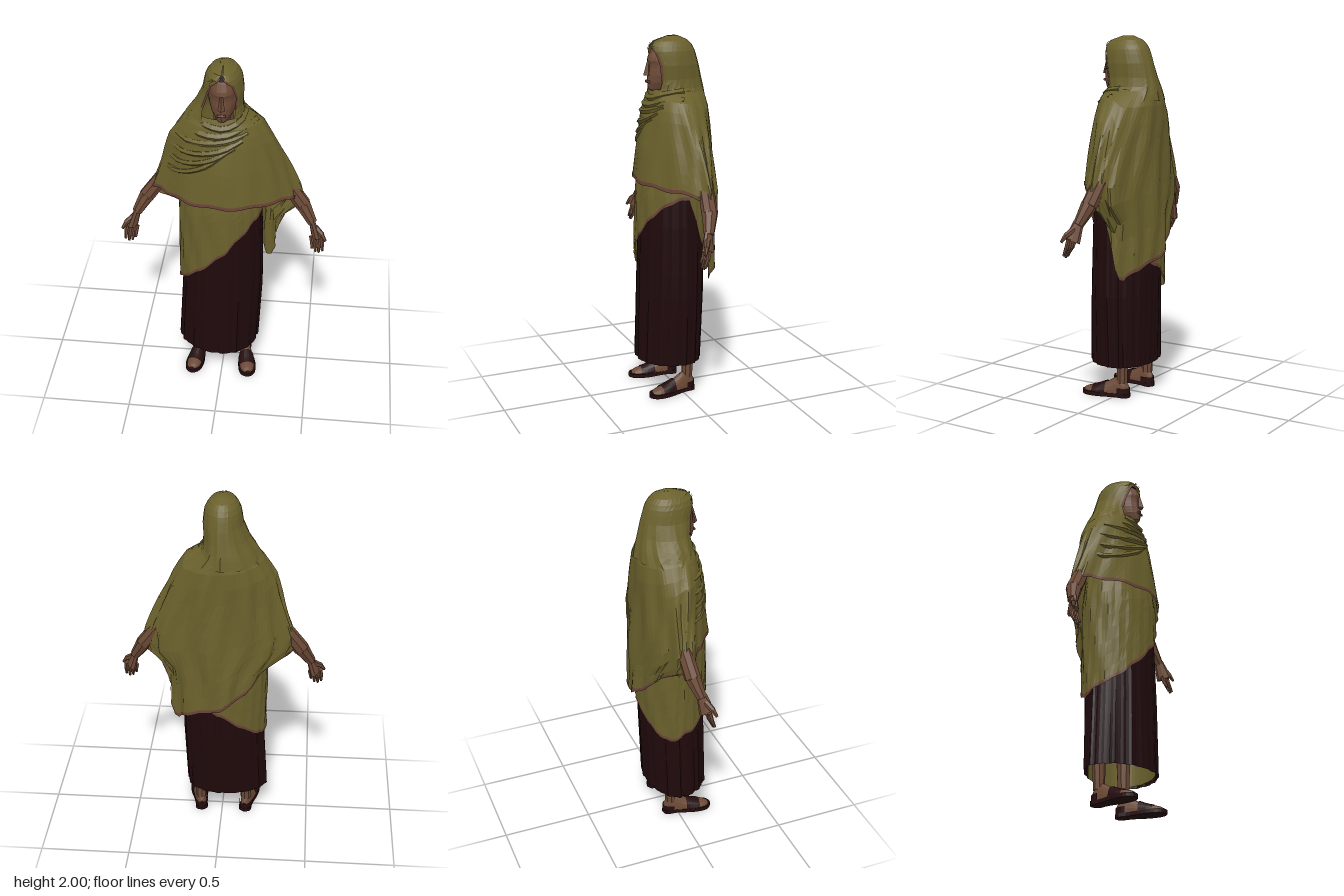
import * as THREE from 'three';

const mat = (name, color) => new THREE.MeshStandardMaterial({ name, color, flatShading: true, side: THREE.DoubleSide });
const olive = mat('olive cloth', 0x6a602c);
const trim = mat('hem trim', 0x6a4238);
const maroon = mat('dark maroon cloth', 0x1f090b);
const skin = mat('brown skin', 0x6b4936);
const leather = mat('dark leather', 0x240d0f);
const hairMat = mat('black hair', 0x17100e);
const RAD = Math.PI / 180;

// Linear interpolation in a table whose first column is the key
function look(table, key) {
  const up = table[0][0] < table[table.length - 1][0];
  const rows = up ? table : [...table].reverse();
  const k = THREE.MathUtils.clamp(key, rows[0][0], rows[rows.length - 1][0]);
  let i = 0;
  while (i < rows.length - 2 && k > rows[i + 1][0]) i++;
  const t = (k - rows[i][0]) / (rows[i + 1][0] - rows[i][0]);
  return rows[i].map((v, j) => v + (rows[i + 1][j] - v) * t);
}

// Surface from a grid of points, f(u, v) with u around and v downward
function sheet(name, material, nu, nv, f) {
  const pos = [], index = [];
  for (let j = 0; j <= nv; j++) for (let i = 0; i <= nu; i++) pos.push(...f(i / nu, j / nv));
  for (let j = 0; j < nv; j++) for (let i = 0; i < nu; i++) {
    const a = j * (nu + 1) + i, c = a + nu + 1;
    index.push(a, c, a + 1, a + 1, c, c + 1);
  }
  const g = new THREE.BufferGeometry();
  g.setAttribute('position', new THREE.Float32BufferAttribute(pos, 3));
  g.setIndex(index);
  g.computeVertexNormals();
  const m = new THREE.Mesh(g, material);
  m.name = name;
  return m;
}

// Point on a body section [y, +x, -x, front z, back z, side pinch]; a = 0 faces front, 90 is +x
function around(table, a, y, k = 1) {
  const [, xr, xl, zf, zb, pinch = 0] = look(table, y), s = Math.sin(a * RAD), c = Math.cos(a * RAD);
  const z = (c > 0 ? c * zf : -c * zb) * (1 - 0.5 * pinch * s * s) - 0.045 * pinch * s * s;
  return [(s > 0 ? s * xr : -s * xl) * k, y, z * k];
}

// Tapered limb between two points
function limb(name, material, p, q, r1, r2, flat = 1, sides = 8) {
  const a = new THREE.Vector3(...p), b = new THREE.Vector3(...q), d = b.clone().sub(a);
  const m = new THREE.Mesh(new THREE.CylinderGeometry(r2, r1, d.length(), sides), material);
  m.position.copy(a).add(b).multiplyScalar(0.5);
  m.quaternion.setFromUnitVectors(new THREE.Vector3(0, 1, 0), d.normalize());
  m.scale.z = flat;
  m.name = name;
  return m;
}

const skirtRows = [[1.25, 0.2, -0.2, 0.17, -0.16], [1.0, 0.215, -0.22, 0.188, -0.165],
  [0.6, 0.22, -0.235, 0.2, -0.16], [0.17, 0.2, -0.26, 0.21, -0.145]];
const wrapRows = [[1.4, 0.2, -0.22, 0.17, -0.16], [1.15, 0.225, -0.25, 0.2, -0.18],
  [0.85, 0.24, -0.25, 0.207, -0.185], [0.55, 0.24, -0.25, 0.212, -0.175]];
const capeRows = [[1.72, 0.1, -0.16, 0.115, -0.17, 0], [1.66, 0.205, -0.225, 0.135, -0.185, 0],
  [1.56, 0.265, -0.29, 0.16, -0.19, 0.25], [1.4, 0.34, -0.335, 0.19, -0.19, 0.7], [1.2, 0.42, -0.405, 0.21, -0.195, 1],
  [1.1, 0.41, -0.385, 0.21, -0.2, 0.9], [1.0, 0.31, -0.28, 0.21, -0.205, 0.3], [0.65, 0.3, -0.25, 0.21, -0.215, 0]];
// Last column is the half angle of the face opening
const hoodRows = [[2.0, 0.02, -0.02, 0.03, -0.03, 0, 0], [1.985, 0.055, -0.055, 0.085, -0.07, 0, 0],
  [1.965, 0.078, -0.08, 0.13, -0.1, 0, 6], [1.92, 0.097, -0.1, 0.137, -0.125, 0, 34], [1.85, 0.105, -0.112, 0.128, -0.145, 0, 44],
  [1.77, 0.1, -0.148, 0.118, -0.163, 0, 44], [1.71, 0.11, -0.19, 0.12, -0.178, 0, 34], [1.65, 0.17, -0.225, 0.125, -0.188, 0, 15]];
const headRows = [[1.97, 0.03, -0.03, 0.06, -0.05], [1.94, 0.07, -0.07, 0.115, -0.08], [1.88, 0.083, -0.083, 0.145, -0.09],
  [1.845, 0.083, -0.083, 0.134, -0.09], [1.8, 0.08, -0.08, 0.143, -0.08], [1.755, 0.068, -0.068, 0.146, -0.06],
  [1.715, 0.045, -0.045, 0.138, -0.03], [1.7, 0.02, -0.02, 0.1, 0]];
// Hem heights by angle
const wrapHem = [[-180, 0.74], [-145, 0.63], [-115, 0.57], [-90, 0.61], [-60, 0.66], [-30, 0.76], [0, 0.89], [30, 1.03],
  [60, 1.12], [90, 1.15], [115, 0.9], [150, 0.8], [180, 0.74]];
const capeHem = [[-180, 0.8], [-150, 0.9], [-120, 1.06], [-90, 1.19], [-60, 1.21], [0, 1.22], [60, 1.2],
  [85, 1.15], [102, 1.08], [114, 0.78], [122, 0.68], [140, 0.74], [180, 0.8]];

// Cloth folds, fading out toward the top and deeper at the back
const capeFold = (a, y) => 1 + Math.min(1, (1.75 - y) * 3) * (1.25 - 0.6 * Math.cos(a * RAD)) *
  (0.02 * Math.sin(9 * a * RAD + 5 * y) + 0.015 * Math.sin(16 * a * RAD - 9 * y + 1));
const wrapFold = (a, y) => 1 + 0.015 * Math.sin(11 * a * RAD + 14 * y) + 0.008 * Math.sin(23 * a * RAD - 8 * y);
const pleat = (a) => 1 + 0.016 * Math.sin(17 * a * RAD) + 0.012 * Math.sin(29 * a * RAD + 1);

// Draped cloth with a trimmed hem
function drape(name, rows, hem, top, fold) {
  const g = new THREE.Group();
  g.name = name;
  const at = (u, y, k) => { const a = u * 360 - 180; return around(rows, a, y, fold(a, y) * k); };
  const low = (u) => look(hem, u * 360 - 180)[1] + 0.006 * Math.sin(u * 26 * Math.PI);
  g.add(sheet(name + 'Cloth', olive, 72, 10, (u, v) => at(u, top + (low(u) - top) * v, 1)));
  g.add(sheet(name + 'Hem', trim, 72, 1, (u, v) => at(u, low(u) + 0.017 - 0.02 * v, 1.012)));
  return g;
}

function makeArm(s) {
  const g = new THREE.Group();
  g.name = s > 0 ? 'leftArm' : 'rightArm';
  const add = (name, p, q, r1, r2, flat, sides) =>
    g.add(limb(name, skin, [p[0] * s, p[1], p[2]], [q[0] * s, q[1], q[2]], r1, r2, flat, sides));
  add('forearm', [0.345, 1.24, -0.045], [0.435, 1.115, -0.03], 0.042, 0.044);
  add('lowerForearm', [0.432, 1.12, -0.03], [0.49, 1.02, 0], 0.044, 0.028);
  add('palm', [0.485, 1.035, 0], [0.517, 0.935, 0.02], 0.028, 0.043, 0.55);
  add('thumb', [0.505, 1.0, 0.015], [0.548, 0.968, 0.04], 0.018, 0.015, 1, 6);
  add('thumbTip', [0.543, 0.973, 0.038], [0.568, 0.935, 0.055], 0.014, 0.008, 1, 6);
  for (let i = 0; i < 4; i++) {
    const x = 0.488 + i * 0.019, y = 0.94 + i * 0.004, tip = 0.85 + [0.025, 0.005, 0, 0.012][i];
    add('finger', [x, y, 0.022], [x + 0.006, (y + tip) / 2, 0.032], 0.013, 0.012, 1, 6);
    add('fingerTip', [x + 0.006, (y + tip) / 2, 0.032], [x + 0.008, tip, 0.05], 0.012, 0.007, 1, 6);
  }
  return g;
}

function makeFoot(s) {
  const g = new THREE.Group();
  g.name = s > 0 ? 'leftFoot' : 'rightFoot';
  const rows = [[-0.08, 0.012, 0.06], [-0.065, 0.026, 0.09], [-0.035, 0.031, 0.12], [0, 0.033, 0.11],
    [0.05, 0.04, 0.08], [0.11, 0.045, 0.058], [0.165, 0.04, 0.045], [0.19, 0.018, 0.032]];
  const skinAt = (u, z, k) => {
    const [, r, top] = look(rows, z), t = u * Math.PI;
    return [r * k * Math.cos(t), 0.015 + (top - 0.015) * k * Math.sin(t), z];
  };
  g.add(sheet('foot', skin, 10, 14, (u, v) => skinAt(u, -0.08 + 0.27 * v, 1)));
  g.add(sheet('frontStrap', leather, 10, 5, (u, v) => skinAt(u, 0.055 + 0.08 * v, 1.12)));
  g.add(sheet('heelStrap', leather, 10, 3, (u, v) => {
    const t = u * Math.PI, y = 0.02 + 0.035 * v;
    return [0.038 * Math.cos(t), y, -0.02 - 0.064 * Math.sin(t)];
  }));
  // Sandal sole
  const outline = new THREE.Shape();
  outline.moveTo(0, -0.086);
  outline.splineThru([[0.034, -0.065], [0.034, 0], [0.052, 0.1], [0.042, 0.175], [0, 0.205], [-0.042, 0.175],
    [-0.05, 0.1], [-0.034, 0], [-0.034, -0.065], [0, -0.086]].map((p) => new THREE.Vector2(...p)));
  const sole = new THREE.Mesh(new THREE.ExtrudeGeometry(outline, { depth: 0.022, bevelEnabled: false, curveSegments: 3 })
    .rotateX(Math.PI / 2).translate(0, 0.022, 0), leather);
  sole.name = 'sole';
  g.add(sole, limb('shin', skin, [0, 0.08, -0.038], [0, 0.45, -0.04], 0.03, 0.045));
  g.position.x = s > 0 ? 0.13 : -0.145;
  g.rotation.y = s * 0.15;
  return g;
}

export function createModel() {
  const model = new THREE.Group();
  model.name = 'robedFigure';

  // Skirt, and the lining that shows inside it
  model.add(sheet('skirt', maroon, 96, 8, (u, v) => {
    const a = u * 360 - 180;
    return around(skirtRows, a, 1.25 - 1.07 * v, 1 + (pleat(a) - 1) * (0.4 + 0.6 * v));
  }));
  model.add(sheet('skirtLining', olive, 24, 2, (u, v) =>
    around(skirtRows, 35 + 170 * u, 0.5 - (0.3 + 0.028 * u) * v, 0.95)));

  // Shawl layers
  model.add(drape('lowerWrap', wrapRows, wrapHem, 1.4, wrapFold));
  model.add(drape('shawl', capeRows, capeHem, 1.72, capeFold));
  model.add(sheet('hood', olive, 28, 14, (u, v) => {
    const y = 2 - 0.35 * v, open = look(hoodRows, y)[6], a = open + (360 - 2 * open) * u;
    return around(hoodRows, a, y, 1 + v * (0.03 * Math.sin(12 * a * RAD + 5 * y) - 0.01 * Math.cos(a * RAD)));
  }));
  model.add(sheet('hoodCrown', olive, 16, 1, (u, v) => around(hoodRows, u * 360, 2, v)));
  for (const s of [1, -1]) model.add(sheet('hoodHem', trim, 1, 12, (u, v) => {
    const y = 1.968 - 0.2 * v;
    return around(hoodRows, s * (look(hoodRows, y)[6] - 3 + 7 * u), y, 1.02);
  }));

  // Gathered cloth at the throat and diagonal folds across the chest
  const fold = (name, pts, r) => {
    const curve = new THREE.CatmullRomCurve3(pts.map((p) => new THREE.Vector3(...p)));
    const m = new THREE.Mesh(new THREE.TubeGeometry(curve, 10, r, 5), olive);
    m.name = name;
    model.add(m);
  };
  fold('cowl', [[0.11, 1.71, -0.02], [0.09, 1.695, 0.08], [0.01, 1.67, 0.125], [-0.09, 1.68, 0.1], [-0.17, 1.7, 0]], 0.021);
  fold('cowlLower', [[0.17, 1.67, 0], [0.12, 1.665, 0.08], [0.01, 1.63, 0.135], [-0.12, 1.63, 0.11], [-0.22, 1.64, 0]], 0.02);
  for (let i = 0; i < 4; i++) {
    const pts = [0, 0.25, 0.5, 0.75, 1].map((t) => {
      const a = 40 - i * 12 - t * (110 - i * 10), y = 1.64 - i * 0.035 - (0.06 + i * 0.035) * Math.sin(t * 2);
      return around(capeRows, a, y, 0.94 + 0.05 * Math.sin(Math.PI * t));
    });
    fold('chestFold', pts, 0.016);
  }

  // Head
  model.add(sheet('head', skin, 20, 14, (u, v) => around(headRows, u * 360 - 180, 1.97 - 0.27 * v)));
  model.add(limb('neck', skin, [0, 1.6, 0.03], [0, 1.77, 0.03], 0.055, 0.05));
  model.add(limb('nose', skin, [0, 1.793, 0.146], [0, 1.87, 0.138], 0.02, 0.007, 1.1, 4));
  model.add(limb('lips', skin, [-0.022, 1.76, 0.143], [0.022, 1.76, 0.143], 0.008, 0.008, 1, 6));
  model.add(sheet('hair', hairMat, 10, 2, (u, v) => around(headRows, -25 + 50 * u, 1.96 - 0.018 * v, 1.04)));

  for (const s of [1, -1]) model.add(makeArm(s), makeFoot(s));
  return model;
}
